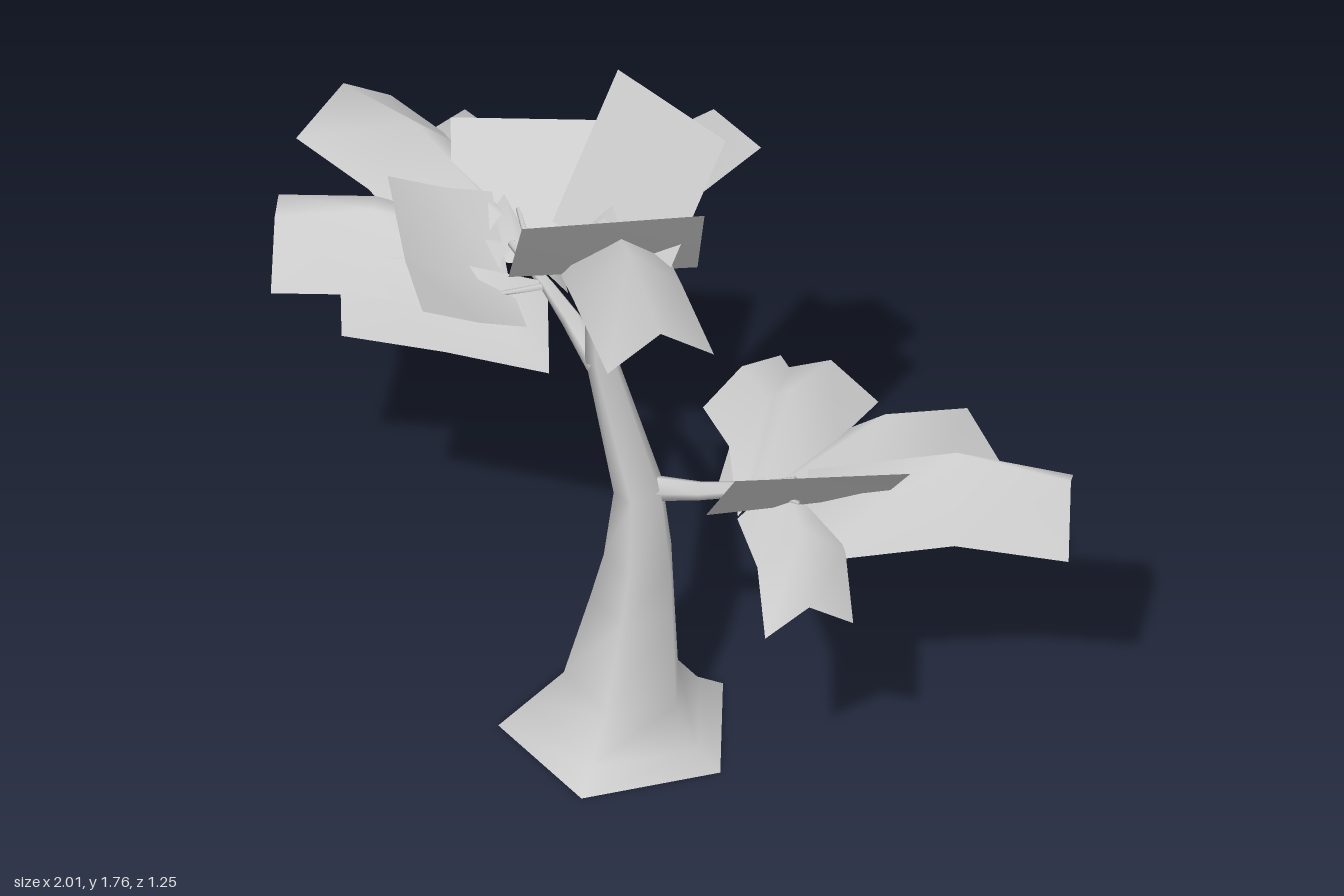
import * as THREE from 'three';

const material = new THREE.MeshStandardMaterial({ color: 0xcccccc, side: THREE.DoubleSide });
const V = (p) => new THREE.Vector3(...p);

function addMesh(group, name, positions, indices) {
  const geo = new THREE.BufferGeometry();
  geo.setAttribute('position', new THREE.Float32BufferAttribute(positions, 3));
  geo.setIndex(indices);
  geo.computeVertexNormals();
  const mesh = new THREE.Mesh(geo, material);
  mesh.name = name;
  group.add(mesh);
}

// Five-sided tapering limb through stations [x, y, z, radius]
function limb(group, name, stations) {
  const sides = 5, pos = [], idx = [];
  const pts = stations.map((s) => V(s.slice(0, 3)));
  const up = new THREE.Vector3(0, 1, 0);
  stations.forEach((s, i) => {
    const dir = i === 0 ? pts[1].clone().sub(pts[0])
      : pts[Math.min(i + 1, pts.length - 1)].clone().sub(pts[i - 1]);
    const q = new THREE.Quaternion().setFromUnitVectors(up, dir.normalize());
    for (let k = 0; k < sides; k++) {
      const a = -0.07 + (k / sides) * Math.PI * 2;
      const p = new THREE.Vector3(Math.cos(a), 0, Math.sin(a)).multiplyScalar(s[3]);
      pos.push(...p.applyQuaternion(q).add(pts[i]).toArray());
      if (i > 0) {
        const n = (k + 1) % sides, lo = (i - 1) * sides, hi = i * sides;
        idx.push(lo + k, hi + k, lo + n, lo + n, hi + k, hi + n);
      }
    }
  });
  // Close the tip
  const last = (stations.length - 1) * sides;
  for (let k = 1; k < sides - 1; k++) idx.push(last, last + k + 1, last + k);
  addMesh(group, name, pos, idx);
}

// Arched leaf: spine of three points, half-width vector, and how far the edges drop
// (the fold opens out a little at the tip)
function archedLeaf(group, spine, half, drop) {
  const pos = [], idx = [];
  spine.forEach((p, r) => {
    for (let c = -1; c <= 1; c++) {
      const v = V(p).addScaledVector(V(half), c);
      v.y -= Math.abs(c) * drop * (r < 2 ? 1.35 : 1);
      pos.push(...v.toArray());
      if (r > 0 && c < 1) {
        const b = r * 3 + c + 1, a = b - 3;
        idx.push(a, a + 1, b, a + 1, b + 1, b);
      }
    }
  });
  addMesh(group, 'archedLeaf', pos, idx);
}

// Flat four-cornered leaf
function flatLeaf(group, corners) {
  addMesh(group, 'flatLeaf', corners.flat(), [0, 1, 2, 0, 2, 3]);
}

export function createModel() {
  const tree = new THREE.Group();
  tree.name = 'tree';

  // Flared trunk
  limb(tree, 'trunk', [
    [0.093, 0, 0.125, 0.29], [0.093, 0.05, 0.125, 0.225], [0.105, 0.15, 0.122, 0.148],
    [0.12, 0.38, 0.105, 0.108], [0.135, 0.52, 0.105, 0.087], [0.137, 0.72, 0.11, 0.063],
    [0.055, 1.1, 0.155, 0.038], [0.04, 1.4, 0.165, 0.022],
  ]);

  // Branches
  limb(tree, 'rightBranch', [
    [0.14, 0.73, 0.11, 0.035], [0.26, 0.74, 0.04, 0.024],
    [0.36, 0.75, -0.04, 0.018], [0.44, 0.78, -0.1, 0.01],
  ]);
  limb(tree, 'leftBranch', [
    [0.05, 1.08, 0.155, 0.035], [-0.06, 1.14, 0.13, 0.025],
    [-0.16, 1.17, 0.1, 0.017], [-0.3, 1.21, 0.07, 0.01],
  ]);

  // Thin twigs at each branch end
  const twigs = [
    [[0.36, 0.75, -0.04], [0.52, 0.8, -0.02]], [[0.4, 0.76, -0.07], [0.5, 0.74, -0.24]],
    [[-0.16, 1.17, 0.1], [-0.27, 1.13, 0.18]], [[-0.2, 1.18, 0.09], [-0.34, 1.25, 0.0]],
    [[0.04, 1.39, 0.165], [0.13, 1.46, 0.23]], [[0.04, 1.39, 0.165], [0.04, 1.48, 0.1]],
  ];
  for (const [a, b] of twigs) limb(tree, 'twig', [[...a, 0.011], [...b, 0.005]]);

  // Crown leaves
  const crown = new THREE.Group();
  crown.name = 'crownLeaves';
  flatLeaf(crown, [[-0.08, 1.76, -0.06], [0.29, 1.76, -0.02], [0.26, 1.41, 0.18], [-0.11, 1.41, 0.14]]);
  flatLeaf(crown, [[0.1, 1.7, 0.49], [0.39, 1.7, 0.17], [0.22, 1.36, 0], [-0.09, 1.36, 0.32]]);
  archedLeaf(crown, [[0.1, 1.52, 0.16], [0.3, 1.645, 0.34], [0.55, 1.63, 0.51]], [0.07, 0, -0.11], 0.09);
  archedLeaf(crown, [[0.05, 1.5, 0.14], [0, 1.555, -0.08], [-0.03, 1.5, -0.345]], [0.13, 0.03, -0.02], 0.09);
  tree.add(crown);

  // Leaves on the right branch
  const right = new THREE.Group();
  right.name = 'rightLeaves';
  flatLeaf(right, [[0.52, 1, 0.21], [0.77, 0.95, -0.13], [0.6, 0.74, -0.23], [0.36, 0.77, 0.13]]);
  archedLeaf(right, [[0.46, 0.81, -0.12], [0.74, 0.88, -0.33], [0.93, 0.78, -0.52]], [0.08, -0.03, 0.1], 0.11);
  archedLeaf(right, [[0.44, 0.8, -0.1], [0.5, 0.86, -0.35], [0.52, 0.73, -0.62]], [0.13, -0.018, 0.01], 0.1);
  archedLeaf(right, [[0.38, 0.79, -0.05], [0.27, 0.86, -0.27], [0.2, 0.78, -0.5]], [0.135, 0.01, -0.015], 0.075);
  archedLeaf(right, [[0.38, 0.78, -0.1], [0.23, 0.83, -0.24], [0.075, 0.8, -0.325]], [0.005, 0.01, 0.145], 0.045);
  archedLeaf(right, [[0.42, 0.79, -0.07], [0.57, 0.78, 0.03], [0.69, 0.67, 0.14]], [0.05, -0.01, -0.1], 0.07);
  tree.add(right);

  // Leaves on the left branch
  const left = new THREE.Group();
  left.name = 'leftLeaves';
  flatLeaf(left, [[-0.61, 1.34, -0.07], [-0.29, 1.39, -0.25], [-0.13, 1.15, -0.06], [-0.45, 1.1, 0.11]]);
  archedLeaf(left, [[-0.16, 1.18, 0.1], [-0.4, 1.18, 0.2], [-0.65, 1.11, 0.28]], [0.075, -0.045, 0.08], 0.105);
  archedLeaf(left, [[-0.36, 1.24, 0.04], [-0.7, 1.29, -0.05], [-0.97, 1.24, -0.1]], [0.03, 0, -0.135], 0.1);
  archedLeaf(left, [[-0.28, 1.21, 0.07], [-0.52, 1.25, -0.12], [-0.74, 1.18, -0.27]], [0.08, -0.02, -0.09], 0.1);
  archedLeaf(left, [[-0.32, 1.2, 0.08], [-0.62, 1.22, 0.2], [-0.84, 1.14, 0.295]], [0.075, -0.05, 0.1], 0.08);
  archedLeaf(left, [[-0.27, 1.13, 0.11], [-0.33, 1.17, 0.21], [-0.39, 1.27, 0.345]], [0.15, -0.06, 0.11], -0.05);
  tree.add(left);

  return tree;
}
